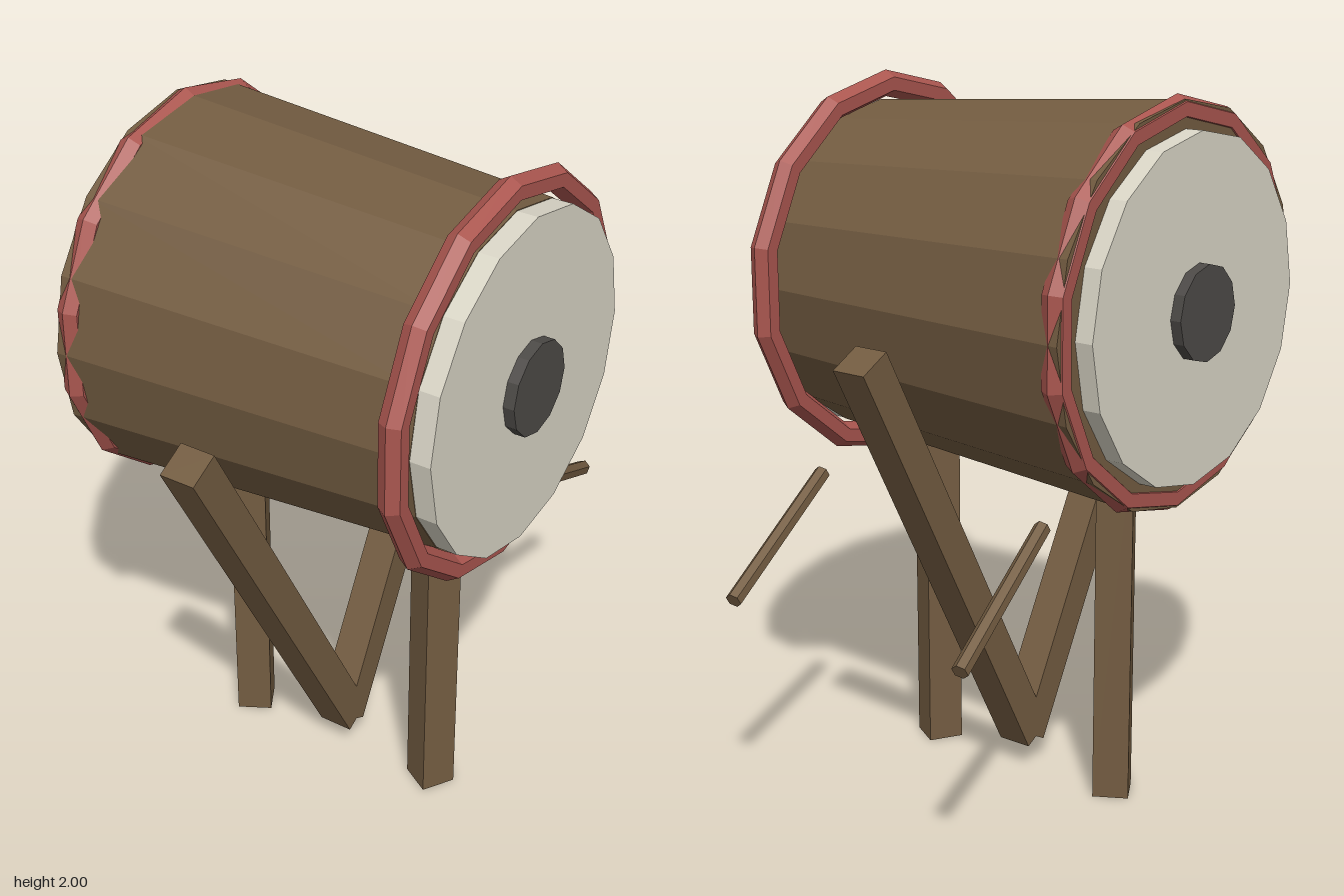
import * as THREE from 'three';

const CY = 1.443, CZ = 0.053; // drum axis

function material(name, color) {
  const m = new THREE.MeshStandardMaterial({ color, flatShading: true });
  m.name = name;
  return m;
}

export function createModel() {
  const wood = material('brown wood', 0x735c41);
  const skin = material('cream skin', 0xd9d5c6);
  const red = material('red rim', 0xaa564f);
  const dark = material('dark grey', 0x4d4a47);

  const model = new THREE.Group();
  model.name = 'standingDrum';

  function add(name, geometry, mat, x, y, z) {
    const mesh = new THREE.Mesh(geometry, mat);
    mesh.name = name;
    mesh.position.set(x, y, z);
    model.add(mesh);
    return mesh;
  }

  // Cylinder along x between two ends
  function drumPart(name, x0, x1, r0, r1, sides, mat) {
    const g = new THREE.CylinderGeometry(r0, r1, x1 - x0, sides).rotateZ(Math.PI / 2);
    return add(name, g, mat, (x0 + x1) / 2, CY, CZ);
  }

  // Tapered body, wide end at -x
  drumPart('drumBody', -0.526, 0.515, 0.545, 0.472, 16, wood);

  // Skins and centre pads at both ends
  drumPart('rightSkin', -0.578, -0.45, 0.47, 0.47, 16, skin);
  drumPart('leftSkin', 0.45, 0.574, 0.47, 0.47, 16, skin);
  drumPart('rightPad', -0.609, -0.56, 0.13, 0.13, 12, dark);
  drumPart('leftPad', 0.56, 0.606, 0.13, 0.13, 12, dark);

  // Hexagonal-section rims
  const rim = new THREE.TorusGeometry(0.52, 0.0375, 6, 14)
    .rotateZ(Math.PI / 2).rotateY(Math.PI / 2);
  add('rightRim', rim, red, -0.497, CY, CZ);
  add('leftRim', rim, red, 0.493, CY, CZ);

  // Upright posts, turned 30 degrees
  const post = new THREE.BoxGeometry(0.102, 1.1, 0.102);
  add('rightPost', post, wood, -0.327, 0.55, CZ + 0.002).rotation.y = Math.PI / 6;
  add('leftPost', post, wood, 0.317, 0.55, CZ + 0.002).rotation.y = -Math.PI / 6;

  // Slanted braces forming a V
  const brace = new THREE.BoxGeometry(0.104, 1.433, 0.1);
  for (const s of [1, -1]) {
    add(s > 0 ? 'frontBrace' : 'backBrace', brace, wood, -0.002, 0.7245, CZ + s * 0.333)
      .rotation.x = s * 0.496;
  }

  // Drumsticks behind the drum
  const up = new THREE.Vector3(0, 1, 0);
  for (const [name, x] of [['rightStick', -0.394], ['leftStick', 0.391]]) {
    const near = new THREE.Vector3(x + 0.044, 0.902, -0.312);
    const far = new THREE.Vector3(x - 0.044, 0.668, -0.76);
    const dir = near.clone().sub(far);
    const g = new THREE.CylinderGeometry(0.023, 0.023, dir.length(), 6);
    const mid = near.add(far).multiplyScalar(0.5);
    add(name, g, wood, mid.x, mid.y, mid.z)
      .quaternion.setFromUnitVectors(up, dir.normalize());
  }

  return model;
}
